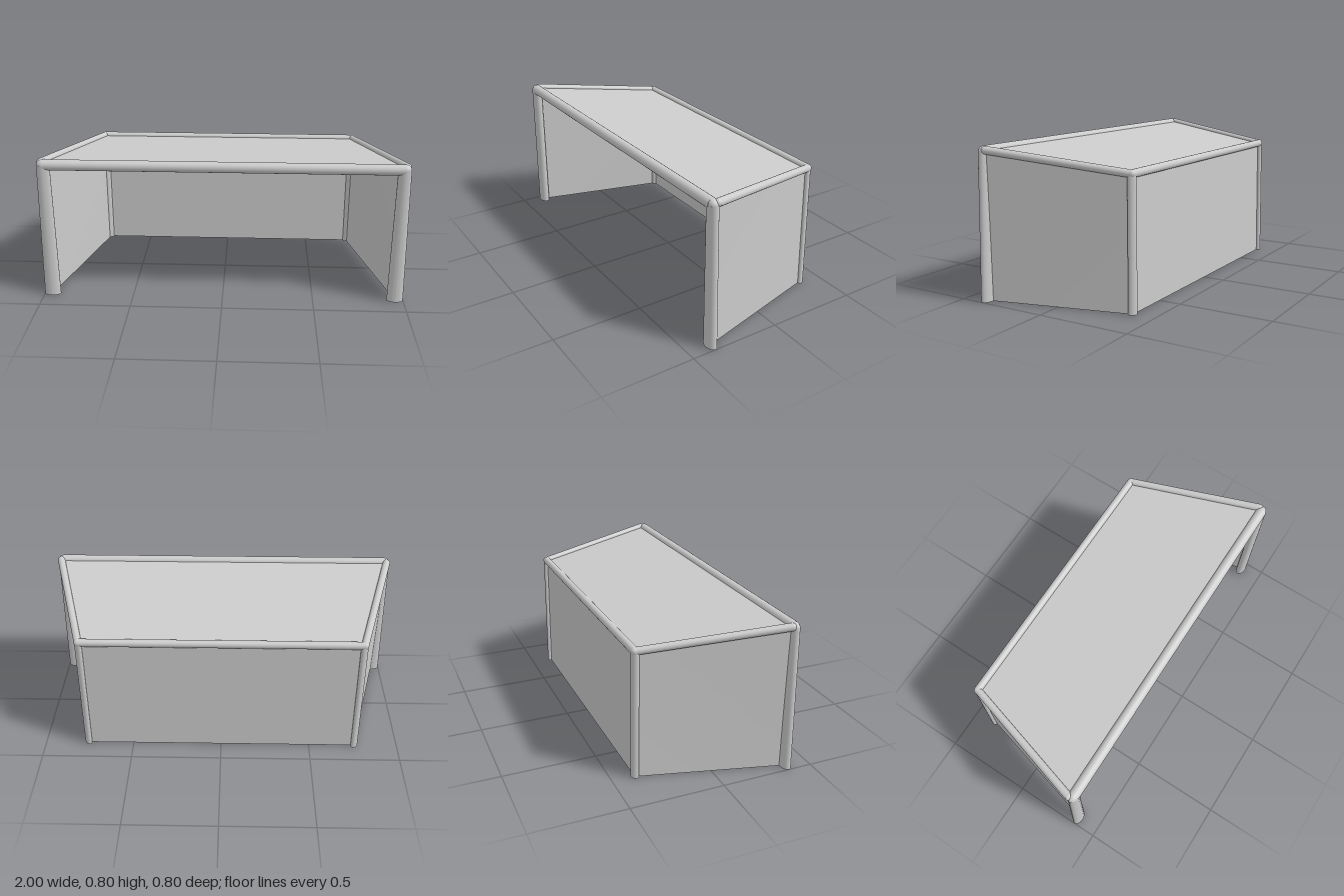
import * as THREE from 'three';

const material = new THREE.MeshStandardMaterial({ color: 0xcccccc });
const sheetMaterial = new THREE.MeshStandardMaterial({ color: 0xcccccc, side: THREE.DoubleSide });
const V = (x, y, z) => new THREE.Vector3(x, y, z);

function add(group, name, geometry, mat = material) {
  const mesh = new THREE.Mesh(geometry, mat);
  mesh.name = name;
  group.add(mesh);
  return mesh;
}

// Straight round bar between two points
function bar(group, name, a, b, ra, rb) {
  const dir = b.clone().sub(a);
  const mesh = add(group, name, new THREE.CylinderGeometry(rb, ra, dir.length(), 20));
  mesh.position.copy(a).add(b).multiplyScalar(0.5);
  mesh.quaternion.setFromUnitVectors(V(0, 1, 0), dir.normalize());
}

// Leaning post with an oval section: sizes are [half x, half z] at foot and head
function post(group, name, foot, head, footSize, headSize, turn = 0) {
  const geometry = new THREE.CylinderGeometry(1, 1, 1, 24, 1);
  const p = geometry.attributes.position;
  for (let i = 0; i < p.count; i++) {
    const t = p.getY(i) + 0.5;
    const sx = THREE.MathUtils.lerp(footSize[0], headSize[0], t);
    const sz = THREE.MathUtils.lerp(footSize[1], headSize[1], t);
    const v = V(p.getX(i) * sx, 0, p.getZ(i) * sz).applyAxisAngle(V(0, 1, 0), turn);
    v.add(foot.clone().lerp(head, t));
    p.setXYZ(i, v.x, v.y, v.z);
  }
  geometry.computeVertexNormals();
  add(group, name, geometry);
}

// Rounded joint where bars meet
function joint(group, name, at, rx, ry, rz) {
  const mesh = add(group, name, new THREE.SphereGeometry(1, 16, 10));
  mesh.position.copy(at);
  mesh.scale.set(rx, ry, rz);
}

// Thin four-cornered sheet
function sheet(group, name, corners) {
  const geometry = new THREE.BufferGeometry().setFromPoints(corners);
  geometry.setIndex([0, 1, 2, 0, 2, 3]);
  geometry.computeVertexNormals();
  add(group, name, geometry, sheetMaterial);
}

export function createModel() {
  const goal = new THREE.Group();
  goal.name = 'goal';

  // Frame corners for one side, s = 1 for left and -1 for right
  const corners = (s) => ({
    frontFoot: V(s * 0.955, 0, 0.372),
    frontHead: V(s * 0.945, 0.77, 0.372),
    sideFront: V(s * 0.96, 0.778, 0.352),
    backFoot: V(s * 0.758, 0, -0.38),
    backHead: V(s * 0.752, 0.69, -0.373),
  });
  const left = corners(1), right = corners(-1);

  // Posts, side bars, joints and side nets
  for (const [side, c, s] of [['left', left, 1], ['right', right, -1]]) {
    post(goal, side + 'FrontPost', c.frontFoot, c.frontHead, [0.045, 0.027], [0.035, 0.027]);
    post(goal, side + 'BackPost', c.backFoot, c.backHead, [0.023, 0.016], [0.023, 0.017], s * -Math.PI / 4);
    bar(goal, side + 'TopBar', c.sideFront, c.backHead, 0.021, 0.02);
    joint(goal, side + 'FrontJoint', c.frontHead, 0.035, 0.029, 0.027);
    joint(goal, side + 'SideJoint', c.sideFront, 0.021, 0.021, 0.021);
    joint(goal, side + 'BackJoint', c.backHead, 0.021, 0.021, 0.021);
    sheet(goal, side + 'Net', [c.frontFoot, c.backFoot, c.backHead, c.sideFront]);
  }

  // Crossbars
  bar(goal, 'frontCrossbar', left.frontHead, right.frontHead, 0.029, 0.029);
  bar(goal, 'backCrossbar', left.backHead, right.backHead, 0.021, 0.021);

  // Back and roof nets
  sheet(goal, 'backNet', [left.backFoot, right.backFoot, right.backHead, left.backHead]);
  sheet(goal, 'roofNet', [left.sideFront, left.backHead, right.backHead, right.sideFront]);

  return goal;
}
